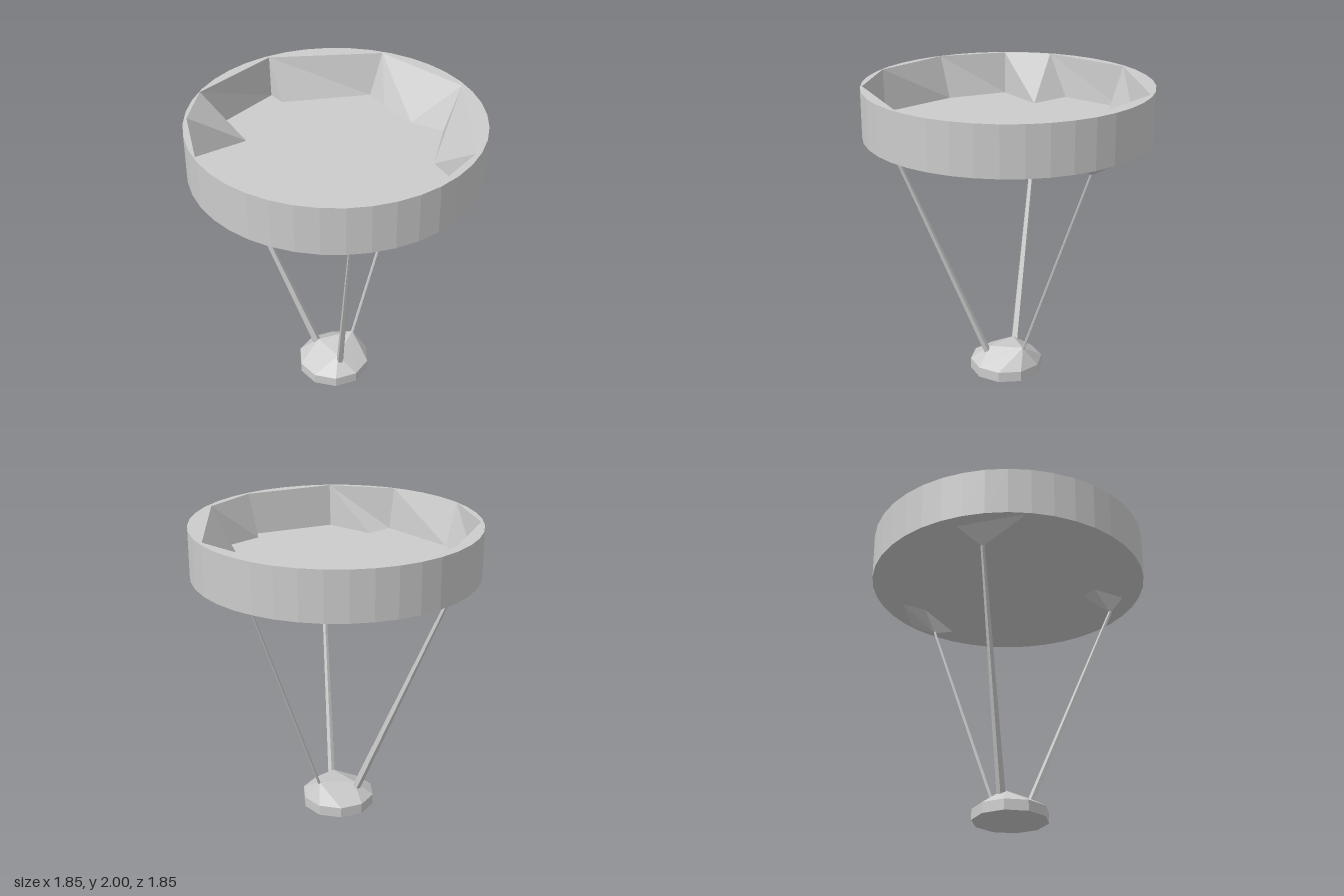
import * as THREE from 'three';
import { ConvexGeometry } from 'three/addons/geometries/ConvexGeometry.js';

const material = new THREE.MeshStandardMaterial({
  color: 0xcccccc, flatShading: true, side: THREE.DoubleSide,
});

const TOP = 2, FLOOR = 1.72, UNDER = 1.68, RADIUS = 0.925, SIDES = 40;

// Inner wall of the basin: [top x, top z, floor x, floor z]
const WALL = [
  [0.16, -0.89, 0.16, -0.88], [0.16, -0.89, 0.16, -0.76],
  [0.78, -0.46, 0.68, -0.46], [0.78, -0.46, 0.65, -0.28],
  [0.88, 0.19, 0.65, -0.02], [0.88, 0.19, 0.74, 0.19],
  [0.88, 0.19, 0.43, 0.43], [0.38, 0.81, 0.43, 0.43],
  [0.38, 0.81, 0.37, 0.77], [0.01, 0.90, 0.02, 0.79],
  [0.01, 0.90, 0.01, 0.88], [-0.56, 0.72, -0.55, 0.70],
  [-0.56, 0.72, -0.62, 0.37], [-0.84, 0.36, -0.81, 0.37],
  [-0.90, -0.18, -0.81, -0.18], [-0.69, -0.59, -0.67, -0.57],
  [-0.45, -0.80, -0.31, -0.52], [-0.45, -0.80, -0.29, -0.80],
];

// Legs with their foot and top, radii, and the corners of the bracket above
const LEGS = [
  { foot: [0.15, 0.19, 0], head: [0.70, 1.57, -0.045], r: [0.008, 0.01],
    bracket: [[0.65, -0.18], [0.70, -0.35], [0.91, -0.08], [0.76, 0.18]] },
  { foot: [-0.07, 0.14, 0.13], head: [-0.395, 1.57, 0.61], r: [0.012, 0.024],
    bracket: [[-0.28, 0.62], [-0.28, 0.46], [-0.40, 0.45], [-0.46, 0.67]] },
  { foot: [-0.07, 0.14, -0.13], head: [-0.395, 1.57, -0.62], r: [0.014, 0.03],
    bracket: [[-0.34, -0.51], [-0.31, -0.77], [-0.72, -0.56]] },
];

function add(parent, name, geometry) {
  const mesh = new THREE.Mesh(geometry, material);
  mesh.name = name;
  parent.add(mesh);
  return mesh;
}

// Horizontal sheet from a shape drawn with y = -z
const sheet = (shape, y) => new THREE.ShapeGeometry(shape).rotateX(-Math.PI / 2).translate(0, y, 0);
const outline = (points) => points.map(([x, z]) => new THREE.Vector2(x, -z));

function circlePoints(n, radius, cx = 0) {
  return Array.from({ length: n }, (_, i) => {
    const a = (i / n) * Math.PI * 2;
    return [cx + Math.sin(a) * radius, Math.cos(a) * radius];
  });
}

// Faceted wall joining the rim outline to the floor outline
function wallGeometry() {
  const p = [];
  WALL.forEach(([ax, az, bx, bz], i) => {
    const [cx, cz, dx, dz] = WALL[(i + 1) % WALL.length];
    if (ax !== cx || az !== cz) p.push(ax, TOP, az, cx, TOP, cz, dx, FLOOR, dz);
    if (bx !== dx || bz !== dz) p.push(ax, TOP, az, dx, FLOOR, dz, bx, FLOOR, bz);
  });
  const g = new THREE.BufferGeometry();
  g.setAttribute('position', new THREE.Float32BufferAttribute(p, 3));
  g.computeVertexNormals();
  return g;
}

function makeBasin() {
  const basin = new THREE.Group();
  basin.name = 'basin';
  const side = new THREE.CylinderGeometry(RADIUS, RADIUS, TOP - UNDER, SIDES, 1, true);
  add(basin, 'basinOuterWall', side.translate(0, (TOP + UNDER) / 2, 0));

  const ring = circlePoints(SIDES, RADIUS);
  add(basin, 'basinUnderside', sheet(new THREE.Shape(outline(ring)), UNDER));

  const rim = new THREE.Shape(outline(ring));
  const tops = WALL.filter((w, i) => {
    const q = WALL[(i + 1) % WALL.length];
    return w[0] !== q[0] || w[1] !== q[1];
  });
  rim.holes.push(new THREE.Path(outline(tops)));
  add(basin, 'basinRim', sheet(rim, TOP));

  const floors = WALL.filter((w, i) => {
    const q = WALL[(i + 1) % WALL.length];
    return w[2] !== q[2] || w[3] !== q[3];
  });
  add(basin, 'basinFloor', sheet(new THREE.Shape(outline(floors.map((w) => [w[2], w[3]]))), FLOOR));
  add(basin, 'basinInnerWall', wallGeometry());
  return basin;
}

function makeLeg({ foot, head, r, bracket }) {
  const group = new THREE.Group();
  group.name = 'legAssembly';
  const a = new THREE.Vector3(...foot), b = new THREE.Vector3(...head);
  const dir = b.clone().sub(a);
  const leg = add(group, 'leg', new THREE.CylinderGeometry(r[0], r[1], dir.length(), 5));
  leg.position.copy(a).add(b).multiplyScalar(0.5);
  leg.quaternion.setFromUnitVectors(new THREE.Vector3(0, 1, 0), dir.normalize());

  // Pointed bracket under the basin
  const corners = bracket.map(([x, z]) => new THREE.Vector3(x, UNDER, z));
  add(group, 'legBracket', new ConvexGeometry([...corners, b.clone().setY(1.56)]));
  return group;
}

// Ten-sided foot with a faceted, three-cornered top
function makeBase() {
  const ring = circlePoints(10, 0.245, -0.02);
  const points = [0, 0.07].flatMap((y) => ring.map(([x, z]) => new THREE.Vector3(x, y, z)));
  points.push(
    new THREE.Vector3(0.15, 0.2, 0),
    new THREE.Vector3(-0.07, 0.17, 0.11),
    new THREE.Vector3(-0.07, 0.17, -0.11),
  );
  return new ConvexGeometry(points);
}

export function createModel() {
  const model = new THREE.Group();
  model.name = 'basinStand';
  model.add(makeBasin());
  LEGS.forEach((leg) => model.add(makeLeg(leg)));
  add(model, 'base', makeBase());
  return model;
}
